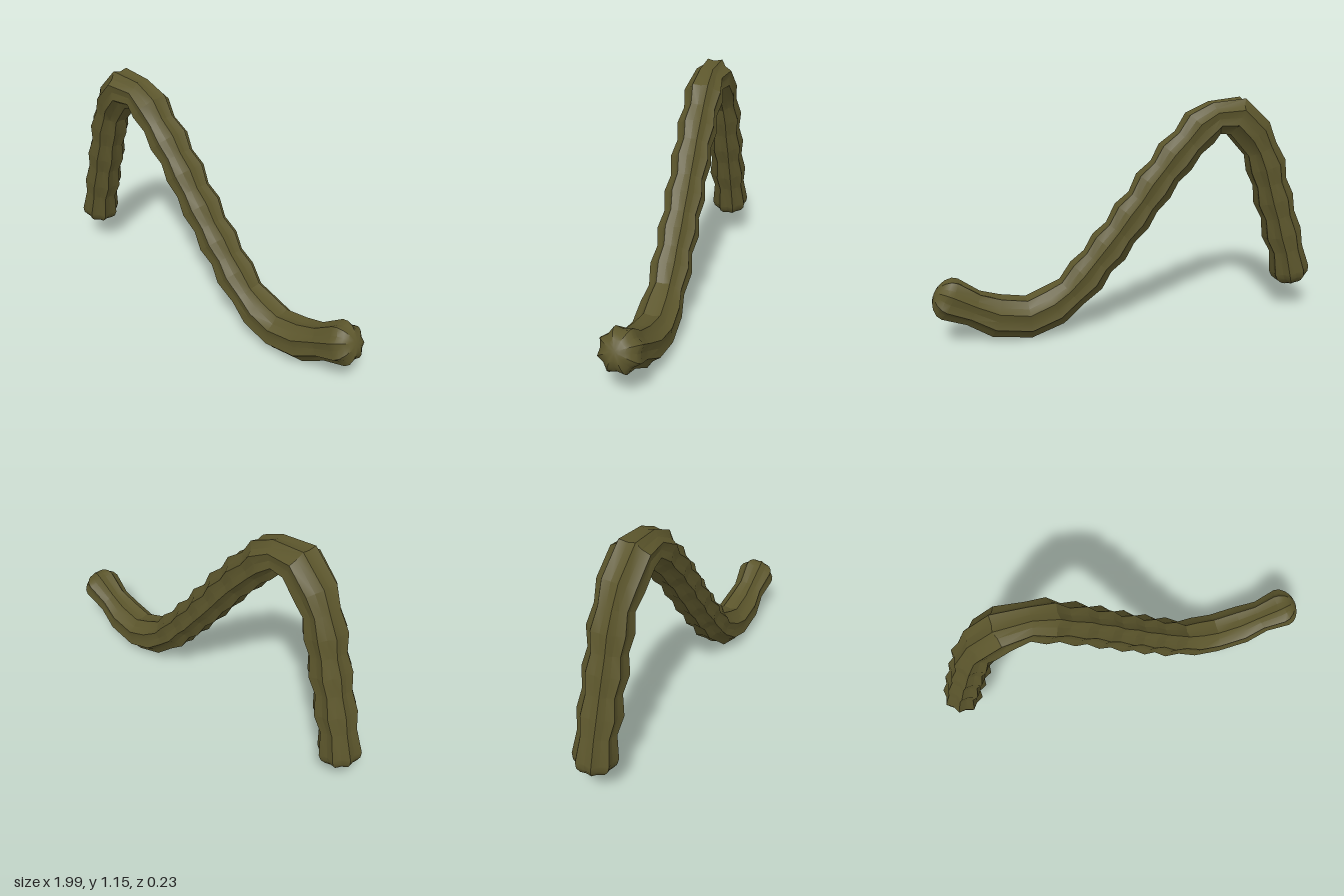
import * as THREE from 'three';
import { toCreasedNormals } from 'three/addons/utils/BufferGeometryUtils.js';

const RIBS = 8, SIDES = RIBS * 2;
const WIDE = 0.106, NARROW = 0.089, VALLEY = 0.84;

// Centre line of the stem, one ring per point
const PATH = [
  [-0.9, 0.22], [-0.875, 0.34], [-0.845, 0.43], [-0.82, 0.53], [-0.79, 0.62], [-0.765, 0.71],
  [-0.74, 0.8], [-0.705, 0.89], [-0.66, 0.97], [-0.565, 1.065], [-0.45, 1.06], [-0.37, 1.01],
  [-0.31, 0.94], [-0.24, 0.87], [-0.185, 0.8], [-0.125, 0.73], [-0.07, 0.65], [-0.01, 0.58],
  [0.05, 0.5], [0.11, 0.43], [0.17, 0.36], [0.23, 0.29], [0.31, 0.21], [0.4, 0.15],
  [0.53, 0.103], [0.69, 0.127], [0.8, 0.18], [0.91, 0.238],
];
const isWide = (i) => (i < 10 ? i % 2 === 0 || i === 9 : i % 2 === 1 || i === 24);

// Slight sideways drift along x
function drift(x) {
  if (x < -0.58) return THREE.MathUtils.mapLinear(x, -0.9, -0.58, -0.01, 0.018);
  return THREE.MathUtils.mapLinear(Math.min(x, 0.54), -0.58, 0.54, 0.018, -0.02);
}

// Rounded end: distance beyond the last ring and share of the radius
const CAP = [[0.03, 0.93], [0.055, 0.72], [0.07, 0.48], [0.077, 0.22]];

function stemGeometry() {
  const pts = PATH.map(([x, y]) => new THREE.Vector3(x, y, drift(x)));
  const last = pts.length - 1;
  const rings = pts.map((centre, i) => ({
    centre,
    dir: pts[Math.min(i + 1, last)].clone().sub(pts[Math.max(i - 1, 0)]).normalize(),
    r: isWide(i) ? WIDE : NARROW,
  }));
  const capRing = (end, sign) => ([d, s]) => ({
    centre: end.centre.clone().addScaledVector(end.dir, sign * d), dir: end.dir, r: end.r * s,
  });
  const all = [
    ...CAP.map(capRing(rings[0], -1)).reverse(),
    ...rings,
    ...CAP.map(capRing(rings[last], 1)),
  ];

  const pos = [], index = [];
  for (const { centre, dir, r } of all) {
    const up = new THREE.Vector3(0, 0, 1).cross(dir).normalize();
    const side = new THREE.Vector3().crossVectors(dir, up);
    for (let k = 0; k < SIDES; k++) {
      const a = (k / SIDES) * Math.PI * 2;
      const rad = k % 2 ? r : r * VALLEY; // ridges on odd corners
      const p = centre.clone().addScaledVector(up, Math.cos(a) * rad).addScaledVector(side, Math.sin(a) * rad);
      pos.push(p.x, p.y, p.z);
    }
  }
  for (let i = 0; i < all.length - 1; i++) {
    for (let k = 0; k < SIDES; k++) {
      const a = i * SIDES + k, b = i * SIDES + ((k + 1) % SIDES);
      index.push(a, b, a + SIDES, b, b + SIDES, a + SIDES);
    }
  }
  // Close both tips with a fan
  const n = all.length, c0 = n * SIDES, base = (n - 1) * SIDES;
  for (const ring of [all[0], all[n - 1]]) pos.push(...ring.centre.toArray());
  for (let k = 0; k < SIDES; k++) {
    const k2 = (k + 1) % SIDES;
    index.push(c0, k2, k, c0 + 1, base + k, base + k2);
  }
  const geo = new THREE.BufferGeometry();
  geo.setAttribute('position', new THREE.Float32BufferAttribute(pos, 3));
  geo.setIndex(index);
  return toCreasedNormals(geo, 0.45);
}

export function createModel() {
  const group = new THREE.Group();
  group.name = 'ribbedStem';
  const olive = new THREE.MeshStandardMaterial({ color: 0x5c562c });
  olive.name = 'olive green';
  const stem = new THREE.Mesh(stemGeometry(), olive);
  stem.name = 'stem';
  group.add(stem);
  return group;
}
